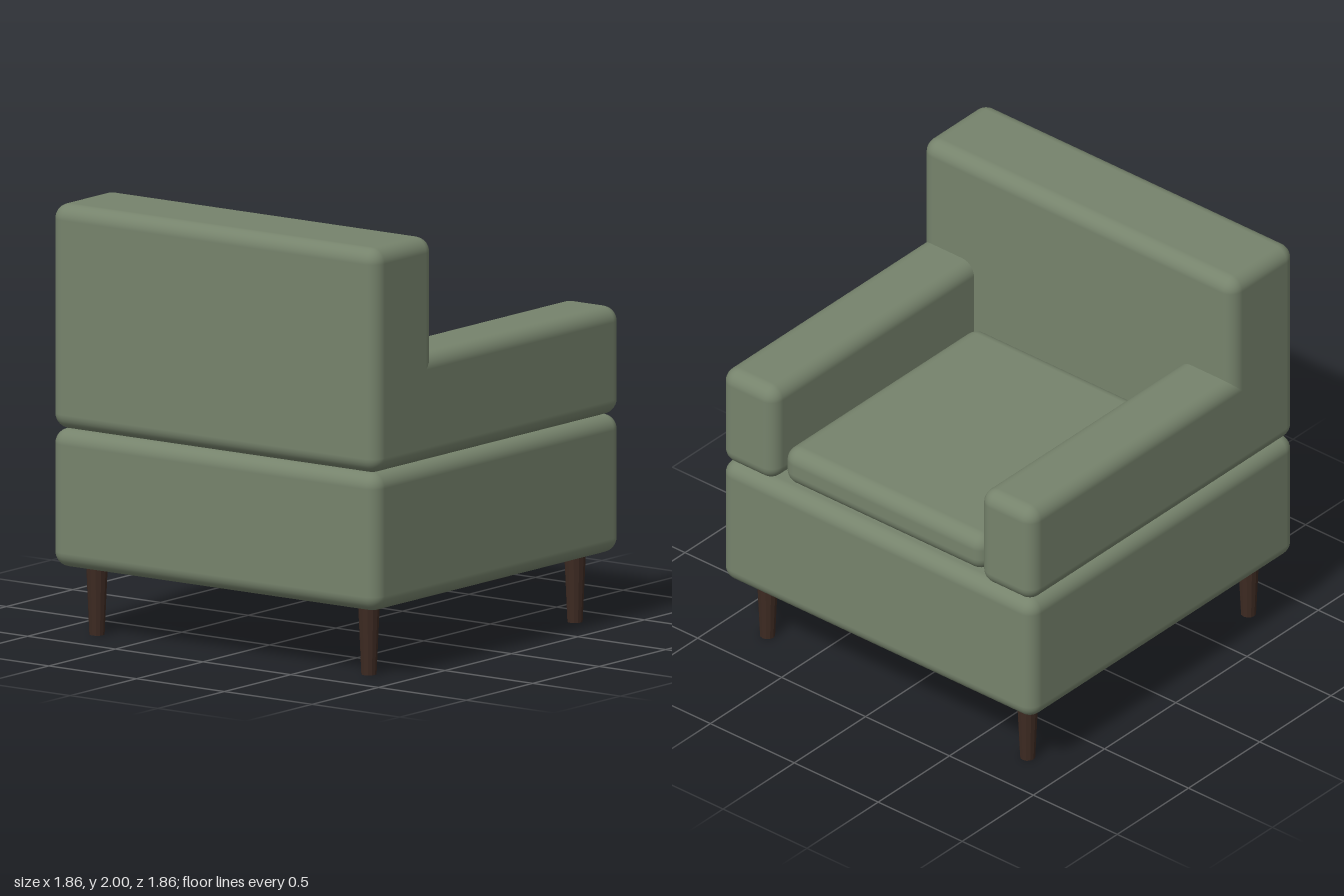
import * as THREE from 'three';
import { RoundedBoxGeometry } from 'three/addons/geometries/RoundedBoxGeometry.js';

const fabric = new THREE.MeshStandardMaterial({ color: 0x76836c });
const wood = new THREE.MeshStandardMaterial({ color: 0x3d2a22, flatShading: true });

// Upholstered block given by its lower and upper corners
function pad(name, [x0, y0, z0], [x1, y1, z1]) {
  const geometry = new RoundedBoxGeometry(x1 - x0, y1 - y0, z1 - z0, 4, 0.07);
  const mesh = new THREE.Mesh(geometry, fabric);
  mesh.position.set((x0 + x1) / 2, (y0 + y1) / 2, (z0 + z1) / 2);
  mesh.name = name;
  return mesh;
}

export function createModel() {
  const chair = new THREE.Group();
  chair.name = 'armchair';

  // The seat opens towards -z, with the backrest at +z
  chair.add(
    pad('base', [-0.93, 0.32, -0.93], [0.93, 0.96, 0.93]),
    pad('backrest', [-0.93, 0.96, 0.48], [0.93, 2, 0.93]),
    pad('seatCushion', [-0.6, 0.96, -0.885], [0.6, 1.15, 0.475]),
    // The arms run on into the backrest
    pad('leftArm', [0.61, 0.96, -0.93], [0.93, 1.46, 0.65]),
    pad('rightArm', [-0.93, 0.96, -0.93], [-0.61, 1.46, 0.65])
  );

  // Tapered legs, set slightly into the base
  const legGeometry = new THREE.CylinderGeometry(0.05, 0.035, 0.33, 12);
  for (const x of [-1, 1]) {
    for (const z of [-1, 1]) {
      const leg = new THREE.Mesh(legGeometry, wood);
      leg.position.set(x * 0.775, 0.165, z * 0.775);
      leg.name = (z < 0 ? 'open' : 'backrest') + (x > 0 ? 'LeftLeg' : 'RightLeg');
      chair.add(leg);
    }
  }
  return chair;
}
